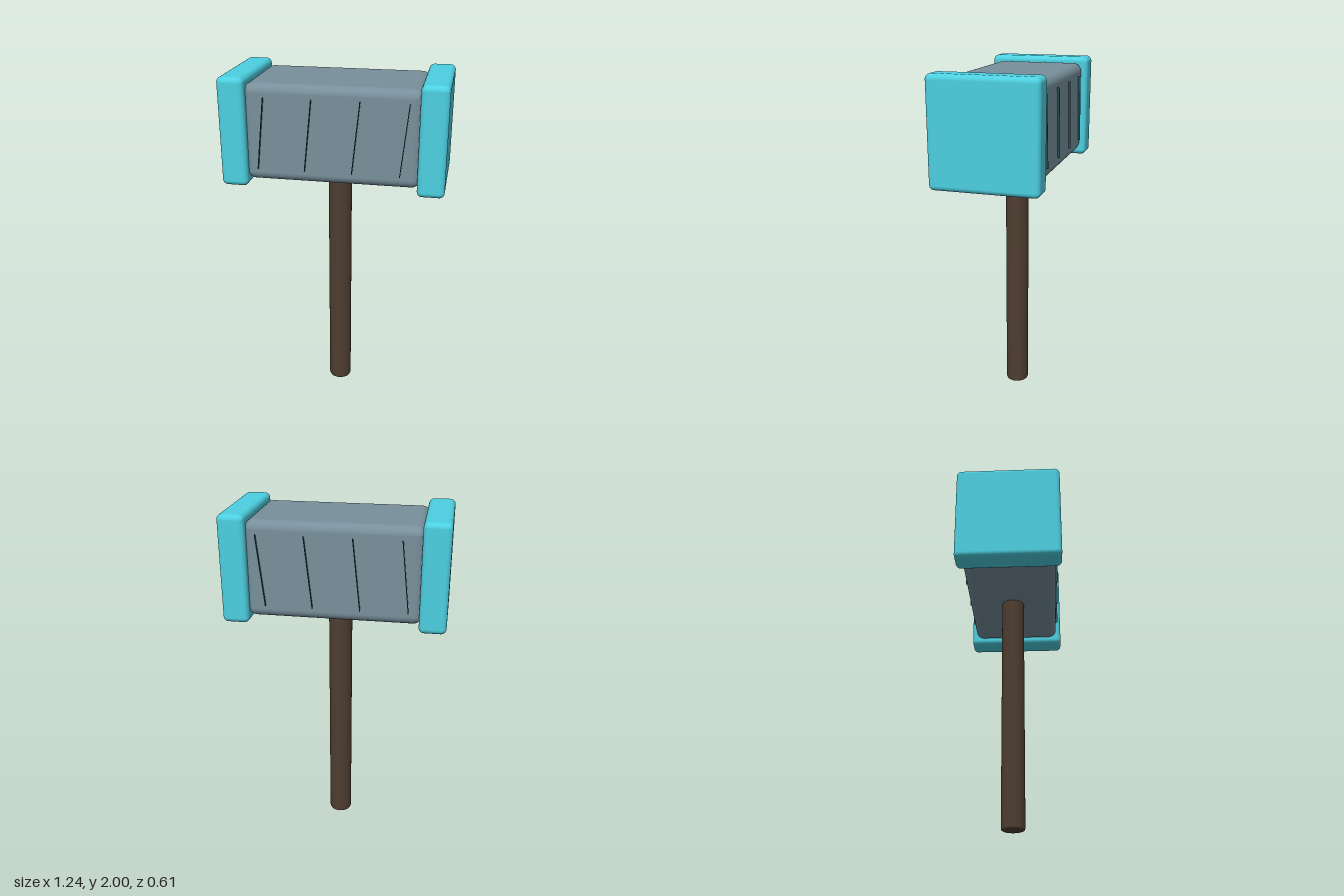
import * as THREE from 'three';
import { RoundedBoxGeometry } from 'three/addons/geometries/RoundedBoxGeometry.js';

const paint = (color) => new THREE.MeshStandardMaterial({ color });

export function createModel() {
  const group = new THREE.Group();
  const teal = paint(0x4dd0e1);
  const steel = paint(0x78909c);
  const wood = paint(0x4e3d30);
  const grooveMat = paint(0x264f58);

  const add = (name, geometry, material, x, y, z) => {
    const mesh = new THREE.Mesh(geometry, material);
    mesh.name = name;
    mesh.position.set(x, y, z);
    group.add(mesh);
    return mesh;
  };

  // Handle: round shaft with softened end edges
  const r = 0.068, top = 1.46, e = 0.014;
  const profile = [[0, 0], [r - e, 0], [r - e * 0.3, e * 0.3], [r, e], [r, top - e], [r - e, top], [0, top]];
  const shaft = new THREE.LatheGeometry(profile.map(([x, y]) => new THREE.Vector2(x, y)), 32);
  add('handle', shaft, wood, 0, 0, 0);

  // Head block between the two striking caps
  add('headBlock', new RoundedBoxGeometry(0.97, 0.54, 0.544, 5, 0.05), steel, 0, 1.697, 0);

  for (const side of [-1, 1]) {
    const label = side > 0 ? 'left' : 'right';
    add(label + 'Cap', new RoundedBoxGeometry(0.15, 0.606, 0.608, 5, 0.03), teal, side * 0.545, 1.697, 0);
  }

  // Thin slanted ribs on the front and back of the head
  const rib = new THREE.BoxGeometry(0.004, 0.4, 0.03);
  for (const side of [-1, 1]) {
    for (let i = 0; i < 4; i++) {
      const mesh = add(side > 0 ? 'frontRib' : 'backRib', rib, grooveMat, -0.39 + i * 0.262, 1.697, side * 0.27);
      mesh.rotation.z = -0.105;
    }
  }
  return group;
}
